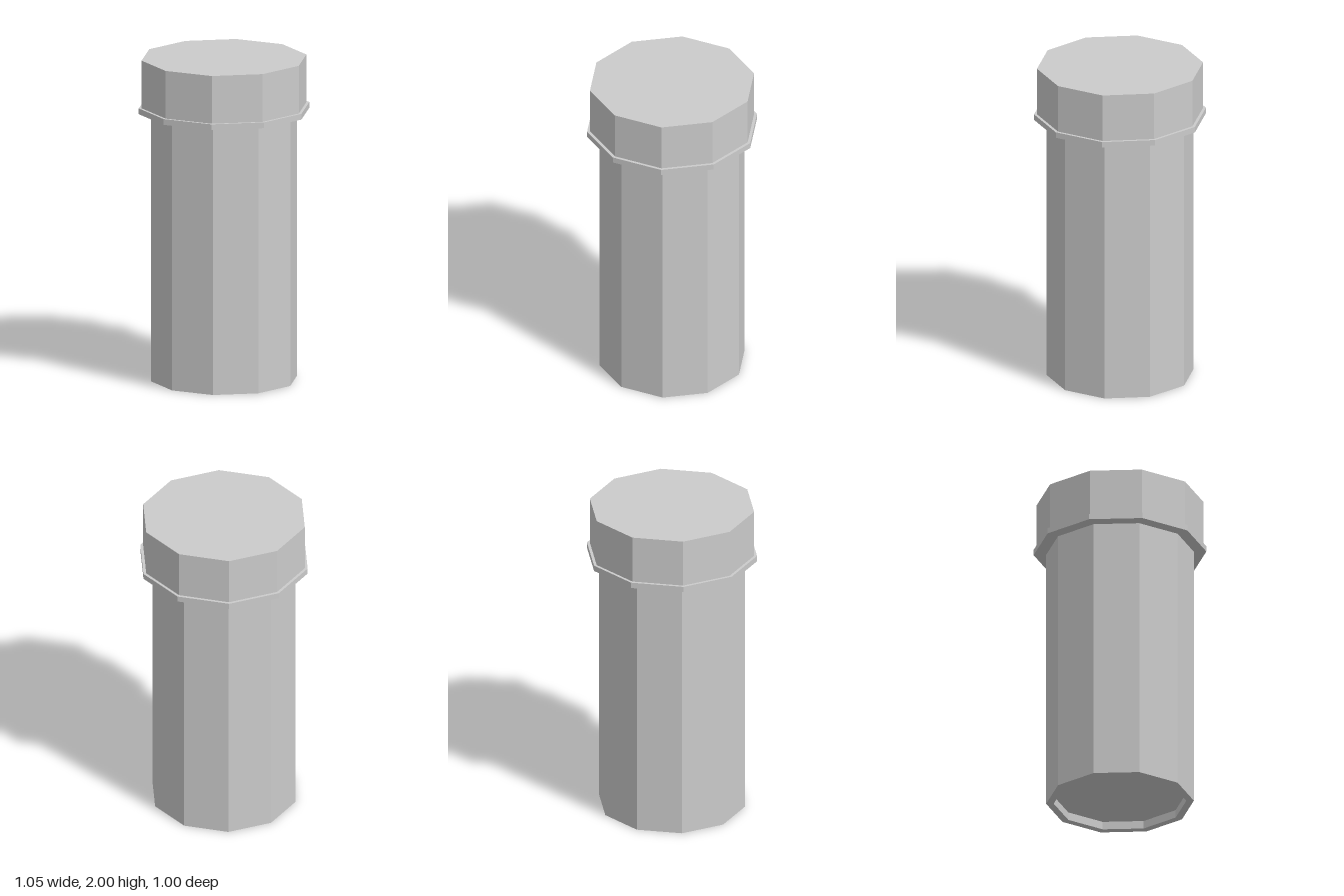
import * as THREE from 'three';

const SIDES = 10;
const material = new THREE.MeshStandardMaterial({ color: 0xcccccc, flatShading: true });

// Ten-sided turned part with a corner on the x axis; the profile runs bottom to top.
function turned(name, profile) {
  const points = profile.map(([r, y]) => new THREE.Vector2(r, y));
  const mesh = new THREE.Mesh(new THREE.LatheGeometry(points, SIDES, Math.PI / 2), material);
  mesh.name = name;
  return mesh;
}

export function createModel() {
  const bodyR = 0.449, capR = 0.507, rimR = 0.525;
  const rimBottom = 1.667, rimTop = 1.703;
  const group = new THREE.Group();
  group.name = 'cappedContainer';

  group.add(
    // Body with a shallow recess in its underside
    turned('body', [[0, 0.05], [0.403, 0.05], [0.403, 0], [bodyR, 0], [bodyR, rimBottom]]),
    // Thin flange around the bottom of the cap
    turned('capRim', [[bodyR, rimBottom], [rimR, rimBottom], [rimR, rimTop], [capR, rimTop]]),
    // Cap with a flat top
    turned('cap', [[capR, rimTop], [capR, 2], [0, 2]]),
  );
  return group;
}
